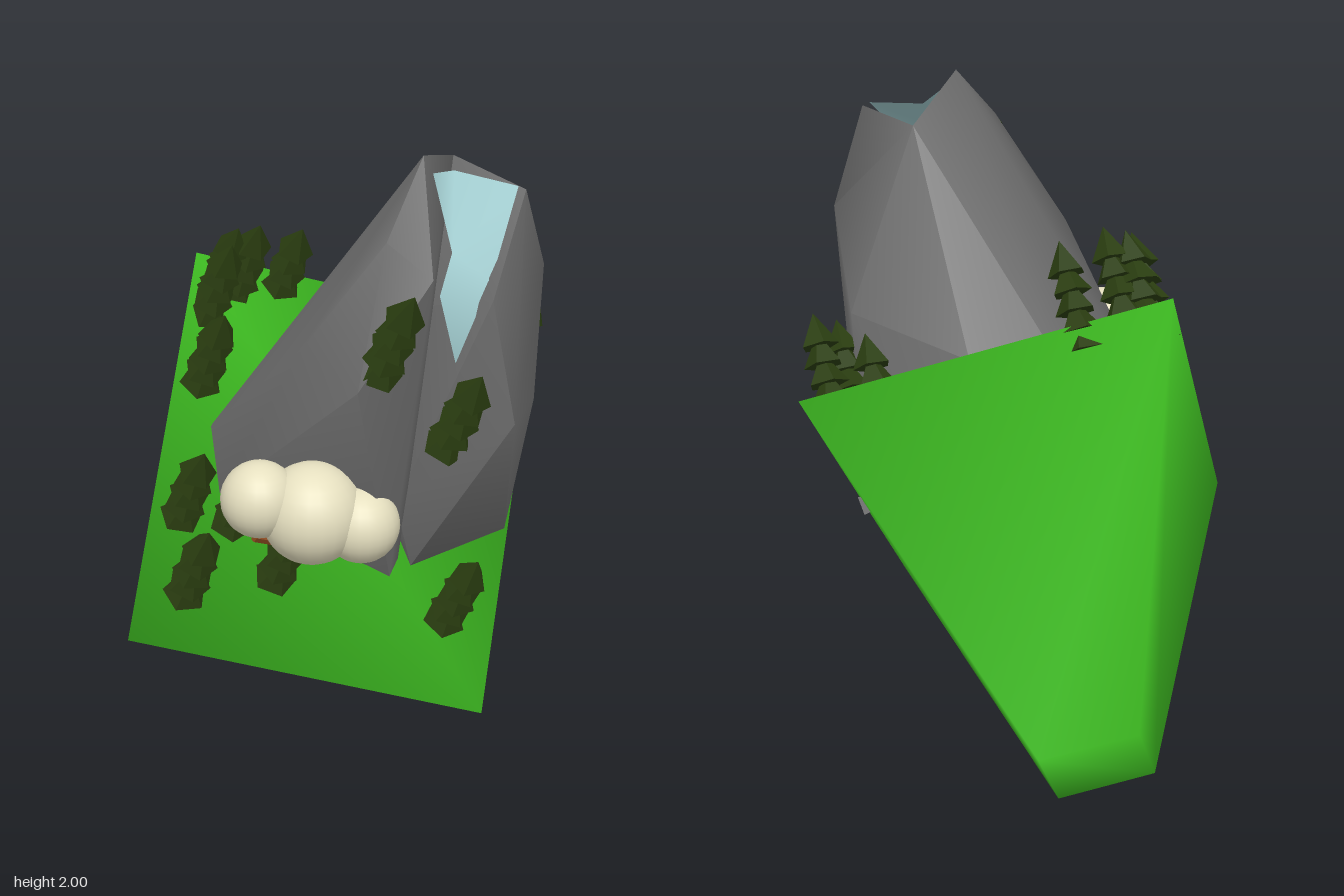
import * as THREE from 'three';
import { mergeVertices, toCreasedNormals } from 'three/addons/utils/BufferGeometryUtils.js';
import { ConvexGeometry } from 'three/addons/geometries/ConvexGeometry.js';

const mat = (color, opts = {}) => new THREE.MeshStandardMaterial({ color, ...opts });
const GRASS = mat(0x3fbf22);
const ROCK = mat(0x707070);
const WATER = mat(0x9fc9cc, { side: THREE.DoubleSide });
const LEAF = mat(0x2a3d10, { flatShading: true });
const BARK = mat(0x8a4a20, { flatShading: true });
const CLOUD = mat(0xe6e0c0);

function add(parent, name, geometry, material) {
  const mesh = new THREE.Mesh(geometry, material);
  mesh.name = name;
  parent.add(mesh);
  return mesh;
}

// Solid around a few corner points; with a crease angle the sharper edges stay hard
function hull(points, crease) {
  const g = new ConvexGeometry(points.map((p) => new THREE.Vector3(...p)));
  if (crease) return toCreasedNormals(g, crease);
  g.deleteAttribute('normal');
  const smooth = mergeVertices(g, 1e-4);
  smooth.computeVertexNormals();
  return smooth;
}

// Direction in which the trees grow on the tilted island
const TREE_UP = new THREE.Vector3(0, 0.82, 0.57).normalize();

// Conifer: short trunk and five stacked cones, given by its tip
function makeTree(tip, index) {
  const tree = new THREE.Group();
  tree.name = 'tree' + (index + 1);
  const height = 0.41;
  const layerHeight = 0.105;
  add(tree, 'trunk', new THREE.CylinderGeometry(0.012, 0.012, 0.1, 5), BARK).position.y = 0.05;
  for (let i = 0; i < 5; i++) {
    const layer = add(tree, 'foliage', new THREE.ConeGeometry(0.068 - i * 0.002, layerHeight, 5), LEAF);
    layer.position.y = height - layerHeight / 2 - (4 - i) * 0.06;
    layer.rotation.y = i * 0.6 + index;
  }
  tree.quaternion.setFromUnitVectors(new THREE.Vector3(0, 1, 0), TREE_UP);
  tree.position.set(...tip).addScaledVector(TREE_UP, -height);
  return tree;
}

export function createModel() {
  const model = new THREE.Group();
  model.name = 'floatingIsland';

  // Tilted grass block: wide top rectangle, small bottom rectangle
  add(model, 'grassBase', hull([
    [-0.785, 0.535, 0.2], [0.22, 0.23, 0.6], [0.785, 1.18, -0.07], [-0.25, 1.485, -0.465],
    [-0.075, 0.085, -0.76], [0.195, 0, -0.65], [0.345, 0.27, -0.84], [0.07, 0.345, -0.94],
  ]), GRASS);

  // Mountain: two overlapping lobes that leave a groove down the front
  const mountain = new THREE.Group();
  mountain.name = 'mountain';
  model.add(mountain);
  add(mountain, 'rightLobe', hull([
    [0.34, 1.89, 0.56], [0.305, 1.905, 0.2], [0.08, 1.68, 0.83], [0.11, 1.34, 0.915],
    [0.485, 1.61, 0.44], [0.545, 1.36, 0.13], [0.55, 1.0, 0.04], [0.47, 0.68, 0.29],
    [0.06, 0.72, 0.42], [-0.05, 0.81, 0.62], [-0.08, 1.0, 0.58], [0.31, 1.3, 0.69],
    [0.47, 1.12, -0.07], [0.31, 1.3, -0.25], [0.045, 1.29, -0.27],
  ], 0.9), ROCK);
  add(mountain, 'leftLobe', hull([
    [0.06, 2.0, 0.46], [0.305, 1.905, 0.2], [-0.13, 1.81, 0.6], [-0.07, 1.74, 0.76],
    [-0.3, 1.45, 0.76], [-0.06, 1.45, 0.7], [-0.12, 0.79, 0.62], [-0.06, 0.81, 0.56],
    [-0.31, 1.47, 0.43], [-0.39, 0.86, 0], [-0.36, 1.02, -0.14],
    [0.045, 1.29, -0.27], [0.31, 1.3, -0.25],
  ], 0.9), ROCK);

  // Water spilling from the summit into the groove
  const water = new THREE.BufferGeometry();
  water.setAttribute('position', new THREE.Float32BufferAttribute([
    0.08, 1.95, 0.48, 0.2, 1.92, 0.39, 0.32, 1.9, 0.55, 0.05, 1.77, 0.65,
    0.12, 1.71, 0.75, -0.06, 1.7, 0.78, 0.0, 1.49, 0.77,
  ], 3));
  water.setIndex([0, 3, 1, 1, 3, 2, 3, 4, 2, 3, 5, 4, 5, 6, 4]);
  water.computeVertexNormals();
  add(model, 'waterfall', water, WATER);

  // Stone sliver poking out of the side
  add(model, 'stoneSliver', hull([
    [0.53, 0.73, 0.12], [0.61, 0.84, -0.07], [0.6, 0.79, -0.1], [0.48, 0.8, -0.05],
  ], 0.3), ROCK);

  // Trees, by tip position
  const tips = [
    [-0.22, 1.77, 0.93], [0.005, 1.5, 0.91], [0.14, 0.81, 0.69],
    [-0.63, 0.98, 0.48], [-0.55, 1.13, 0.27], [-0.33, 0.96, 0.47], [-0.41, 1.1, 0.33],
    [-0.38, 1.46, 0.05], [-0.26, 1.6, -0.16], [-0.15, 1.64, -0.19], [-0.01, 1.61, -0.18],
    [-0.21, 1.63, -0.22], [0.67, 1.38, 0.12], [0.57, 1.32, 0.2], [0.54, 1.33, 0.02],
  ];
  tips.forEach((tip, i) => model.add(makeTree(tip, i)));

  // Small log under the cloud
  const log = add(model, 'log', new THREE.CylinderGeometry(0.018, 0.018, 0.07, 6), BARK);
  log.position.set(-0.42, 0.885, 0.4);
  log.rotation.z = 1.2;

  // Cloud of three puffs
  const cloud = new THREE.Group();
  cloud.name = 'cloud';
  model.add(cloud);
  [[-0.485, 1.07, 0.51, 0.113], [-0.345, 1.02, 0.565, 0.15], [-0.22, 0.985, 0.63, 0.113]].forEach(
    ([x, y, z, r]) => add(cloud, 'puff', new THREE.SphereGeometry(r, 24, 16), CLOUD).position.set(x, y, z),
  );

  return model;
}
